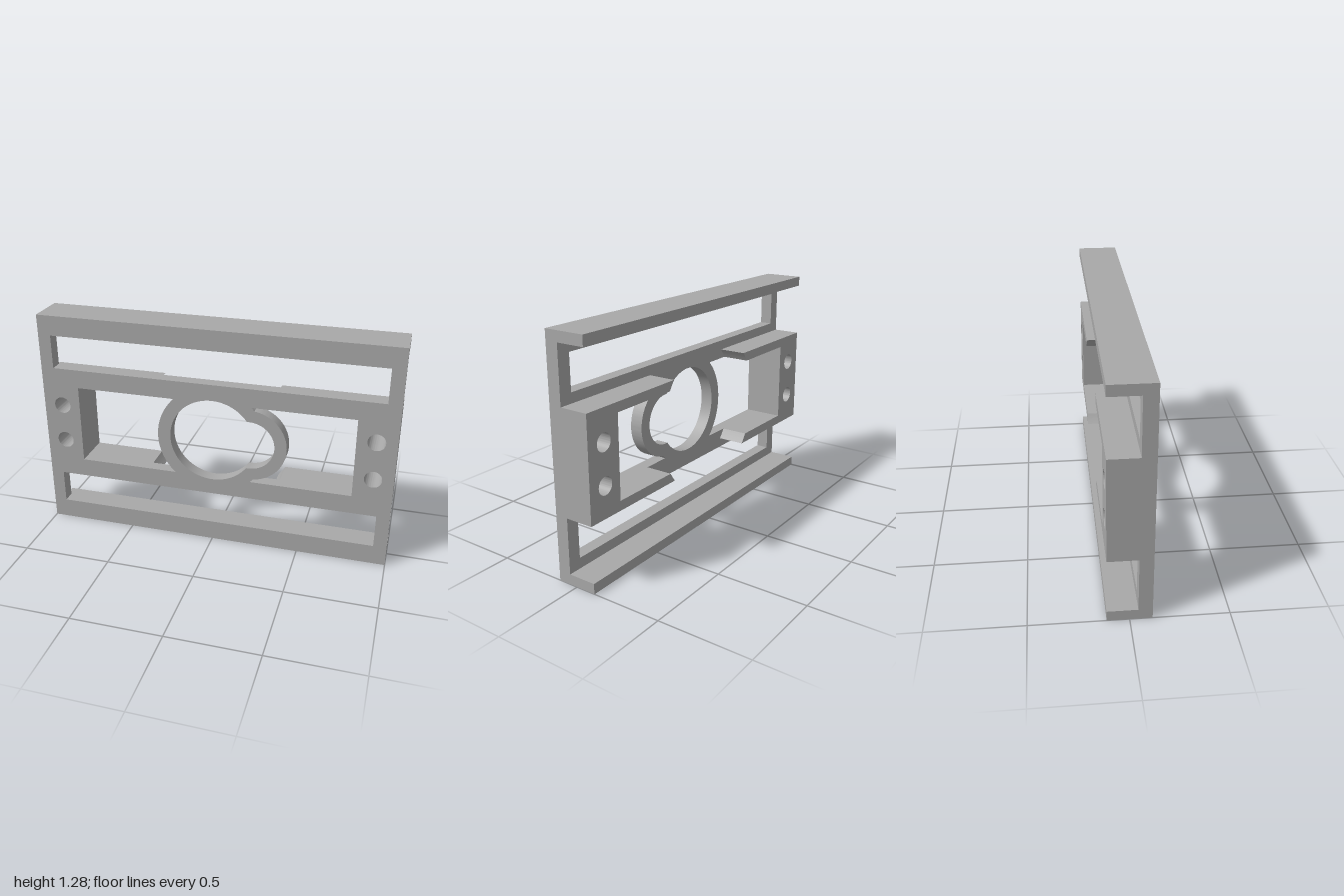
import * as THREE from 'three';
import { toCreasedNormals } from 'three/addons/utils/BufferGeometryUtils.js';

const MID = 0.64;                                 // height of the centre line
const BACK = -0.1135, STEP = 0.0425, FRONT = 0.1135;
const WIN_X = 0.785, WIN_Y = 0.2275;              // window half sizes
const RING = 0.315, LOBE_X = 0.21, LOBE = 0.21;   // outer ring and lobe radii
const BORE = 0.242, LOBE_BORE = 0.142;            // inner radii
const CLEAR = 0.44;                               // round clearance in the rear frame

function circle(x, y, r) {
  const p = new THREE.Path();
  p.absarc(x, y, r, 0, Math.PI * 2, false);
  return p;
}

function polygon(points) {
  return new THREE.Path(points.map(([x, y]) => new THREE.Vector2(x, y)));
}

function rect(x, y, hw, hh) {
  return polygon([[x - hw, y - hh], [x + hw, y - hh], [x + hw, y + hh], [x - hw, y + hh]]);
}

function extrude(shape, z0, z1) {
  const g = new THREE.ExtrudeGeometry(shape, { depth: z1 - z0, bevelEnabled: false, curveSegments: 40 });
  g.translate(0, 0, z0);
  return toCreasedNormals(g, 0.5);
}

const boltHoles = (x) => [-0.11, 0.11].map((y) => circle(x, y, 0.048));

// Front plate with slots, windows, bolt holes and keyhole-shaped bore
function plateShape() {
  const s = new THREE.Shape(rect(0, 0, 1, MID).getPoints());
  for (const side of [-1, 1]) {
    s.holes.push(rect(0, side * 0.43, 0.927, 0.096), ...boltHoles(side * 0.89));
  }

  // Plain window beside the ring
  const a = Math.asin(WIN_Y / RING);
  const left = polygon([[-WIN_X, WIN_Y], [-WIN_X, -WIN_Y]]);
  left.absarc(0, 0, RING, Math.PI + a, Math.PI - a, true);
  left.closePath();

  // Window beside the lobe, following the ring and then the lobe
  const ix = (RING * RING - LOBE * LOBE + LOBE_X * LOBE_X) / (2 * LOBE_X);
  const iy = Math.sqrt(RING * RING - ix * ix);
  const b = Math.atan2(iy, ix), c = Math.atan2(iy, ix - LOBE_X);
  const right = polygon([[WIN_X, -WIN_Y], [WIN_X, WIN_Y]]);
  right.absarc(0, 0, RING, a, b, true);
  right.absarc(LOBE_X, 0, LOBE, c, -c, true);
  right.absarc(0, 0, RING, -b, -a, true);
  right.closePath();

  // Bore: large circle joined to the small lobe
  const d = Math.asin(LOBE_BORE / BORE);
  const bore = new THREE.Path();
  bore.absarc(0, 0, BORE, d, Math.PI * 2 - d, false);
  bore.absarc(LOBE_X, 0, LOBE_BORE, -Math.PI / 2, Math.PI / 2, false);
  bore.closePath();

  s.holes.push(left, right, bore);
  return s;
}

// C-shaped rear bracket whose arms end on the round clearance
function bracketShape() {
  const h = 0.28;
  const outer = Math.asin(h / CLEAR), inner = Math.asin(WIN_Y / CLEAR);
  const s = new THREE.Shape();
  s.moveTo(1, -h);
  s.lineTo(1, h);
  s.absarc(0, 0, CLEAR, outer, inner, true);
  s.lineTo(WIN_X, WIN_Y);
  s.lineTo(WIN_X, -WIN_Y);
  s.absarc(0, 0, CLEAR, -inner, -outer, true);
  s.closePath();
  s.holes.push(...boltHoles(0.89));
  return s;
}

export function createModel() {
  const group = new THREE.Group();
  const grey = new THREE.MeshStandardMaterial({ color: 0xa8a8a8 });
  grey.name = 'grey';

  const add = (name, geometry, y) => {
    const mesh = new THREE.Mesh(geometry, grey);
    mesh.name = name;
    mesh.position.y = y;
    group.add(mesh);
    return mesh;
  };

  add('frontPlate', extrude(plateShape(), STEP, FRONT), MID);

  // Rear brackets, the second turned half round
  const bracket = extrude(bracketShape(), BACK, STEP);
  add('leftBracket', bracket, MID);
  add('rightBracket', bracket, MID).rotation.z = Math.PI;

  // Flanges along the top and bottom edges
  const flange = new THREE.BoxGeometry(2, 0.056, STEP - BACK);
  flange.translate(0, 0, (STEP + BACK) / 2);
  add('bottomFlange', flange, 0.028);
  add('topFlange', flange, 2 * MID - 0.028);

  return group;
}
